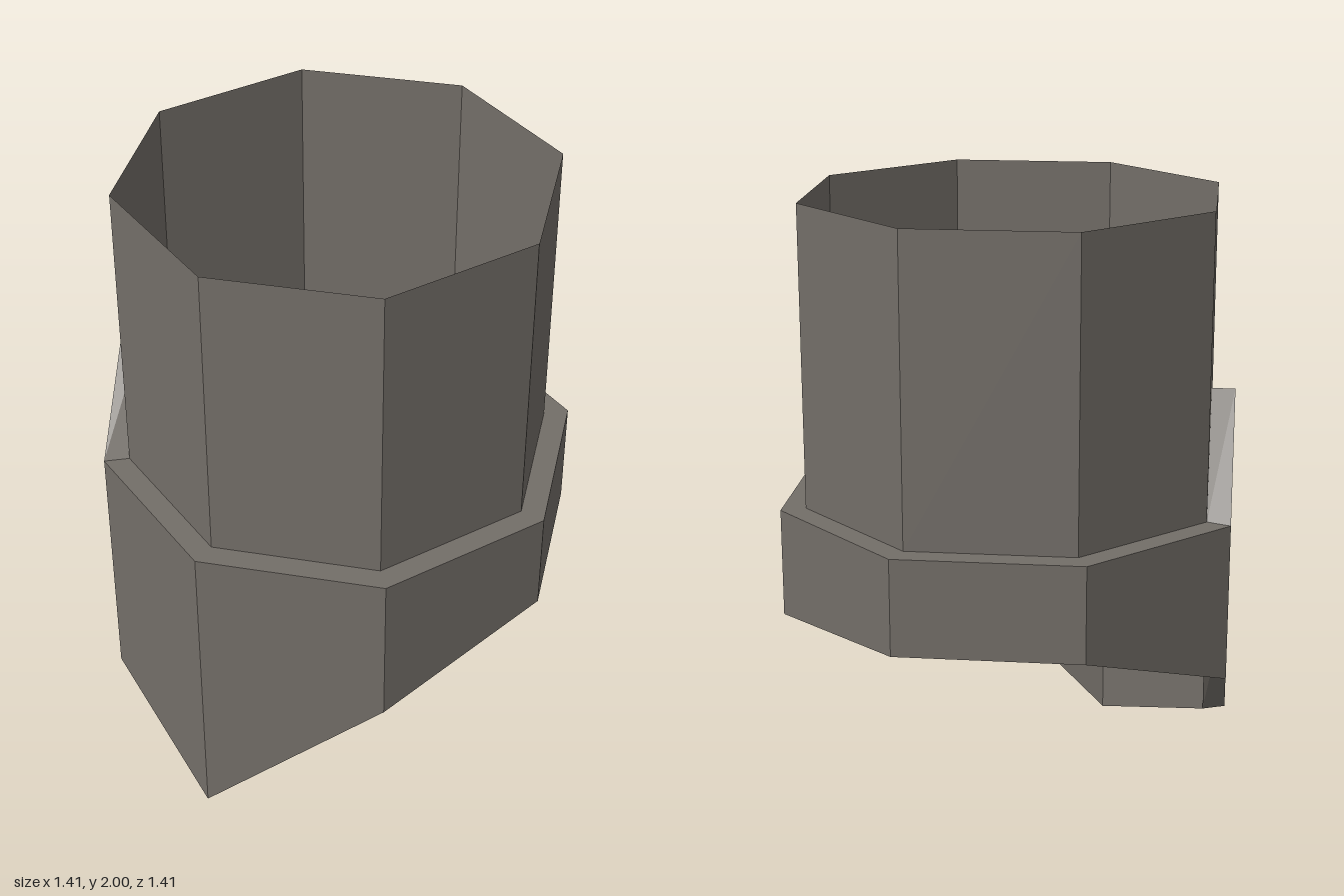
import * as THREE from 'three';

const OUTER = 0.707, INNER = 0.632;      // apothems of the octagons
const RING_Y = 1.03, FLOOR_Y = 0.78;
const COS = Math.cos(Math.PI / 8), TAN = Math.tan(Math.PI / 8);

// Collar stations around the octagon: corner direction at unit apothem, broken bottom, top
const STATIONS = [
  [1, TAN, 0.70, RING_Y],
  [TAN, 1, 0.52, RING_Y],
  [-TAN, 1, 0, RING_Y],
  [-1, TAN, 0.17, RING_Y],
  [-1, 0, 0.70, 1.39],                   // pointed peak above a notch
  [-1, -TAN, 0.52, RING_Y],
  [-TAN, -1, 0.72, RING_Y],
  [TAN, -1, 0.72, RING_Y],
  [1, -TAN, 0.68, RING_Y],
];

function collarGeometry() {
  const sections = STATIONS.map(([x, z, low, high]) => [
    [x * OUTER, low, z * OUTER], [x * OUTER, high, z * OUTER],
    [x * INNER, high, z * INNER], [x * INNER, low, z * INNER],
  ]);
  const pos = [];
  sections.forEach((a, i) => {
    const b = sections[(i + 1) % sections.length];
    for (let j = 0; j < 4; j++) {
      const k = (j + 1) % 4;
      pos.push(...a[j], ...a[k], ...b[k], ...a[j], ...b[k], ...b[j]);
    }
  });
  const geo = new THREE.BufferGeometry();
  geo.setAttribute('position', new THREE.Float32BufferAttribute(pos, 3));
  geo.computeVertexNormals();
  return geo;
}

// Cut a convex polygon to the inner octagon
function clipToOctagon(poly) {
  for (let s = 0; s < 8; s++) {
    const nx = Math.cos(s * Math.PI / 4), nz = Math.sin(s * Math.PI / 4);
    const out = [];
    poly.forEach((p, i) => {
      const q = poly[(i + 1) % poly.length];
      const dp = p.x * nx + p.y * nz - INNER, dq = q.x * nx + q.y * nz - INNER;
      if (dp <= 0) out.push(p);
      if (dp * dq < 0) out.push(p.clone().lerp(q, dp / (dp - dq)));
    });
    poly = out;
  }
  return poly;
}

// Staggered columns of bricks with chamfered corners
function brickShapes() {
  const columns = [-0.585, -0.452, -0.298, -0.125, 0.025, 0.198, 0.347, 0.503, 0.675];
  const w = 0.063, pitch = 0.318, h = 0.141, c = 0.028;
  const shapes = [];
  columns.forEach((x, i) => {
    for (let n = -3; n <= 3; n++) {
      const z = -0.075 + i * 0.08 + (n - 0.5 - Math.floor(i / 4)) * pitch;
      const corners = [
        [w - c, -h], [w, c - h], [w, h - c], [w - c, h],
        [c - w, h], [-w, h - c], [-w, c - h], [c - w, -h],
      ].map(([dx, dz]) => new THREE.Vector2(x + dx, z + dz));
      const poly = clipToOctagon(corners);
      if (poly.length > 2) shapes.push(new THREE.Shape(poly));
    }
  });
  return shapes;
}

export function createModel() {
  const stone = new THREE.MeshStandardMaterial({ color: 0x736e68, flatShading: true, side: THREE.DoubleSide });
  stone.name = 'warm grey stone';
  const dark = new THREE.MeshStandardMaterial({ color: 0x2f2f2f, flatShading: true, side: THREE.DoubleSide });
  dark.name = 'dark brick';

  const model = new THREE.Group();
  model.name = 'brokenTower';
  const add = (name, geo, mat, y = 0) => {
    const mesh = new THREE.Mesh(geo, mat);
    mesh.name = name;
    mesh.position.y = y;
    model.add(mesh);
  };

  // Open octagonal shaft
  const height = 2 - RING_Y;
  const shaft = new THREE.CylinderGeometry(INNER / COS, INNER / COS, height, 8, 1, true);
  shaft.rotateY(Math.PI / 8);
  add('shaft', shaft, stone, RING_Y + height / 2);

  // Thick collar with a jagged lower edge
  add('collar', collarGeometry(), stone);

  // Floor inside the collar, with bricks on both faces
  const floor = new THREE.CircleGeometry(INNER / COS, 8, Math.PI / 8);
  floor.rotateX(-Math.PI / 2);
  add('floor', floor, stone, FLOOR_Y);

  const bricks = new THREE.ShapeGeometry(brickShapes());
  bricks.rotateX(Math.PI / 2);           // shape y becomes +z
  add('floorBricksTop', bricks, dark, FLOOR_Y + 0.004);
  add('floorBricksUnderside', bricks, dark, FLOOR_Y - 0.004);

  return model;
}
